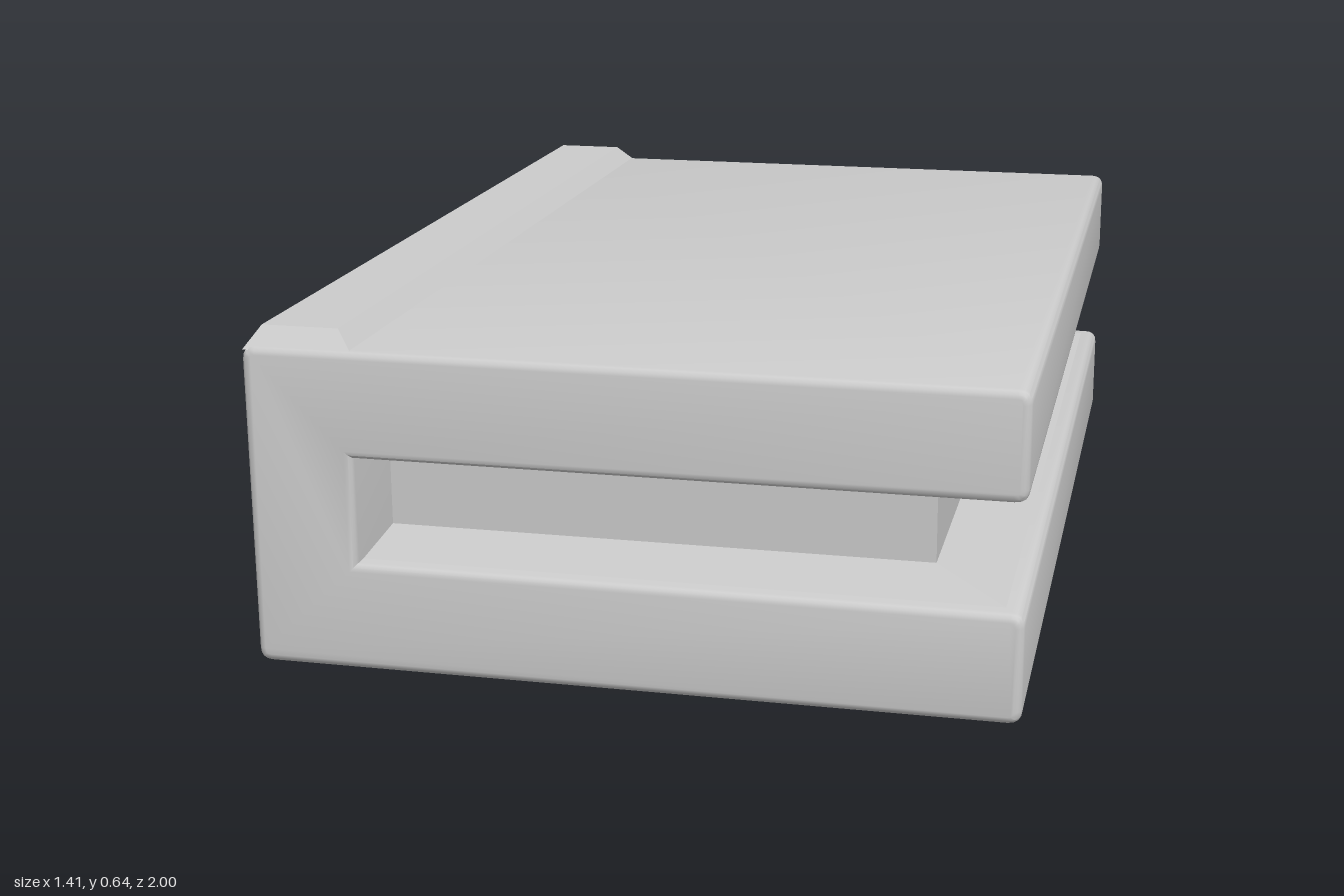
import * as THREE from 'three';
import { toCreasedNormals } from 'three/addons/utils/BufferGeometryUtils.js';

const material = new THREE.MeshStandardMaterial({ color: 0xcccccc });

function part(name, geometry) {
  const mesh = new THREE.Mesh(geometry, material);
  mesh.name = name;
  return mesh;
}

// Box whose lower and upper rectangles differ: each is [xMin, xMax, zHalf, y]
function taperedBlock(lower, upper) {
  const geometry = new THREE.BoxGeometry(1, 1, 1);
  const p = geometry.attributes.position;
  for (let i = 0; i < p.count; i++) {
    const [x0, x1, z, y] = p.getY(i) > 0 ? upper : lower;
    p.setXYZ(i, p.getX(i) > 0 ? x1 : x0, y, p.getZ(i) > 0 ? z : -z);
  }
  geometry.computeVertexNormals();
  return geometry;
}

// C-shaped profile: two thick covers joined by the spine, outer corners rounded
function casingGeometry() {
  const r = 0.025, bevel = 0.015;
  const x0 = -0.707, x1 = 0.707, inner = -0.505, top = 0.605, lo = 0.205, hi = 0.405;
  const s = new THREE.Shape();
  s.moveTo(x0 + r, 0);
  s.lineTo(x1 - r, 0);
  s.quadraticCurveTo(x1, 0, x1, r);
  s.lineTo(x1, lo - r);
  s.quadraticCurveTo(x1, lo, x1 - r, lo);
  s.lineTo(inner, lo);
  s.lineTo(inner, hi);
  s.lineTo(x1 - r, hi);
  s.quadraticCurveTo(x1, hi, x1, hi + r);
  s.lineTo(x1, top - r);
  s.quadraticCurveTo(x1, top, x1 - r, top);
  s.lineTo(x0 + r, top);
  s.quadraticCurveTo(x0, top, x0, top - r);
  s.lineTo(x0, r);
  s.quadraticCurveTo(x0, 0, x0 + r, 0);
  const geometry = new THREE.ExtrudeGeometry(s, {
    depth: 2 - 2 * bevel, curveSegments: 4, bevelSegments: 3,
    bevelThickness: bevel, bevelSize: bevel, bevelOffset: -bevel,
  });
  geometry.translate(0, 0, bevel - 1);
  return toCreasedNormals(geometry, Math.PI / 4);
}

export function createModel() {
  const book = new THREE.Group();
  book.name = 'book';

  book.add(part('coversAndSpine', casingGeometry()));

  // Raised ridge along the top of the spine
  book.add(part('spineRidge', taperedBlock(
    [-0.705, -0.497, 0.995, 0.598], [-0.68, -0.535, 0.96, 0.637])));

  // Inner faces of the covers slope gently toward the pages
  const edge = [-0.51, 0.69, 0.985, 0.203], inside = [-0.51, 0.53, 0.81, 0.22];
  const flip = ([a, b, c, y]) => [a, b, c, 0.61 - y];
  book.add(part('lowerInnerSlope', taperedBlock(edge, inside)));
  book.add(part('upperInnerSlope', taperedBlock(flip(inside), flip(edge))));

  // Page block, set back from the cover edges
  book.add(part('pages', taperedBlock(
    [-0.51, 0.53, 0.81, 0.21], [-0.51, 0.53, 0.81, 0.4])));

  return book;
}
